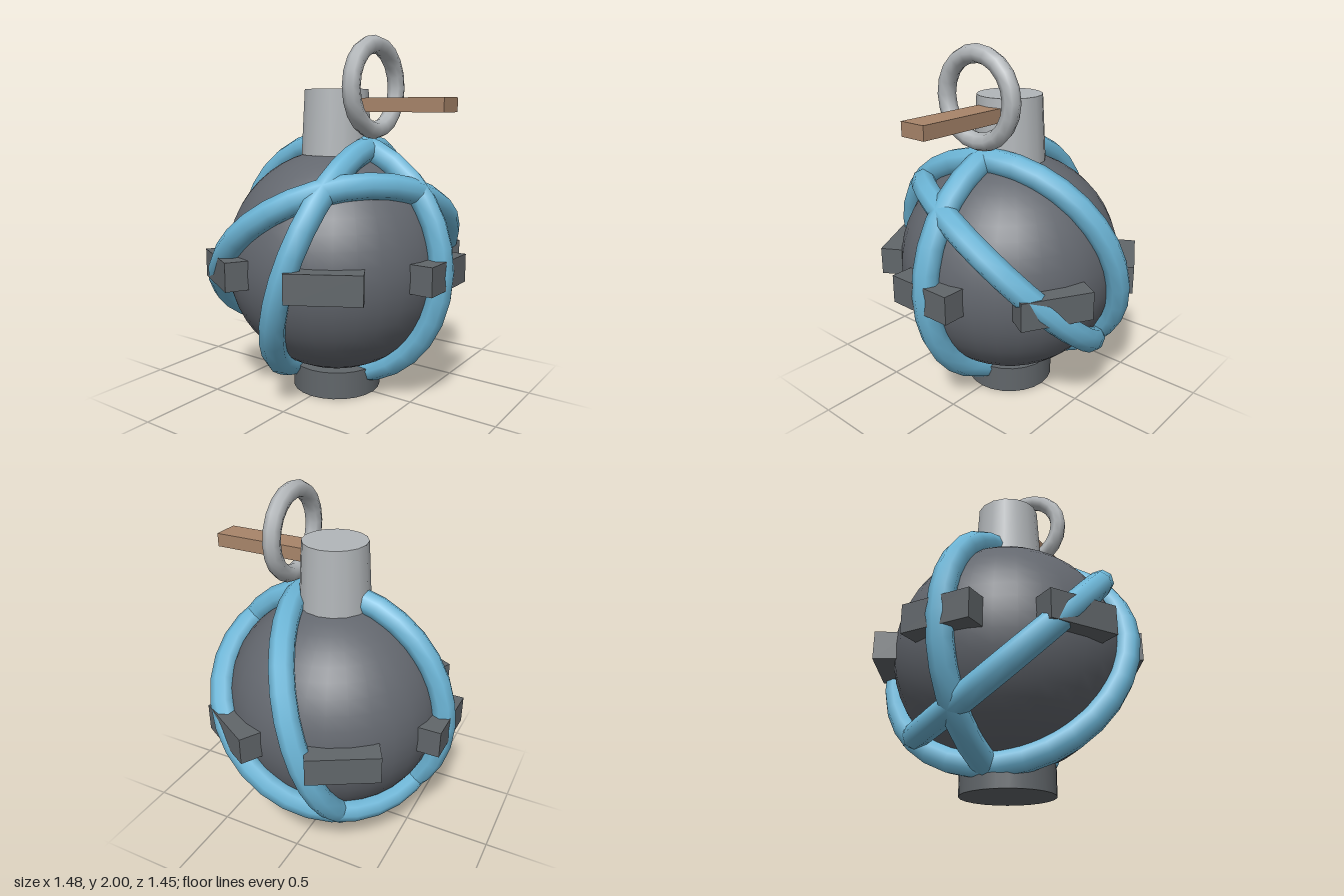
import * as THREE from 'three';

export function createModel() {
  const model = new THREE.Group();
  const material = (name, color) => {
    const m = new THREE.MeshStandardMaterial({ color });
    m.name = name;
    return m;
  };
  const shell = material('shell grey', 0x63676e);
  const iron = material('iron grey', 0x61666a);
  const blue = material('cable blue', 0x6cb5d6);
  const steel = material('pale steel', 0xb2b6b9);
  const brown = material('lever brown', 0xa8856a);

  const add = (name, geometry, mat, x = 0, y = 0, z = 0, parent = model) => {
    const mesh = new THREE.Mesh(geometry, mat);
    mesh.name = name;
    mesh.position.set(x, y, z);
    parent.add(mesh);
    return mesh;
  };

  const centreY = 0.76;

  // Round body on a short foot, with a tapered neck
  add('body', new THREE.SphereGeometry(0.63, 32, 24), shell, 0, centreY, 0);
  add('foot', new THREE.CylinderGeometry(0.255, 0.255, 0.155, 24), iron, 0, 0.0775, 0);
  add('neck', new THREE.CylinderGeometry(0.18, 0.2, 0.36, 16), steel, 0, 1.54, 0);

  // Three hoops wrapped round the body, each turned further than the last
  const hoop = new THREE.TorusGeometry(0.67, 0.07, 8, 32);
  for (let i = 0; i < 3; i++) {
    add('hoop' + (i + 1), hoop, blue, 0, centreY, 0).rotation.set(i * Math.PI / 3, i * 0.6, 0);
  }

  // Six blocks round the waist
  const block = new THREE.BoxGeometry(0.2, 0.155, 0.39);
  for (let i = 0; i < 6; i++) {
    const pivot = new THREE.Group();
    pivot.name = 'waistBlock' + (i + 1);
    pivot.rotation.y = i * Math.PI / 3;
    add('block', block, iron, 0.618, centreY, 0, pivot);
    model.add(pivot);
  }

  // Lever and pull ring
  add('lever', new THREE.BoxGeometry(0.6, 0.075, 0.155), brown, 0.4, 1.633, 0);
  add('pullRing', new THREE.TorusGeometry(0.226, 0.049, 8, 20), steel, 0.25, 1.725, 0).rotation.y = Math.PI / 2;

  return model;
}
